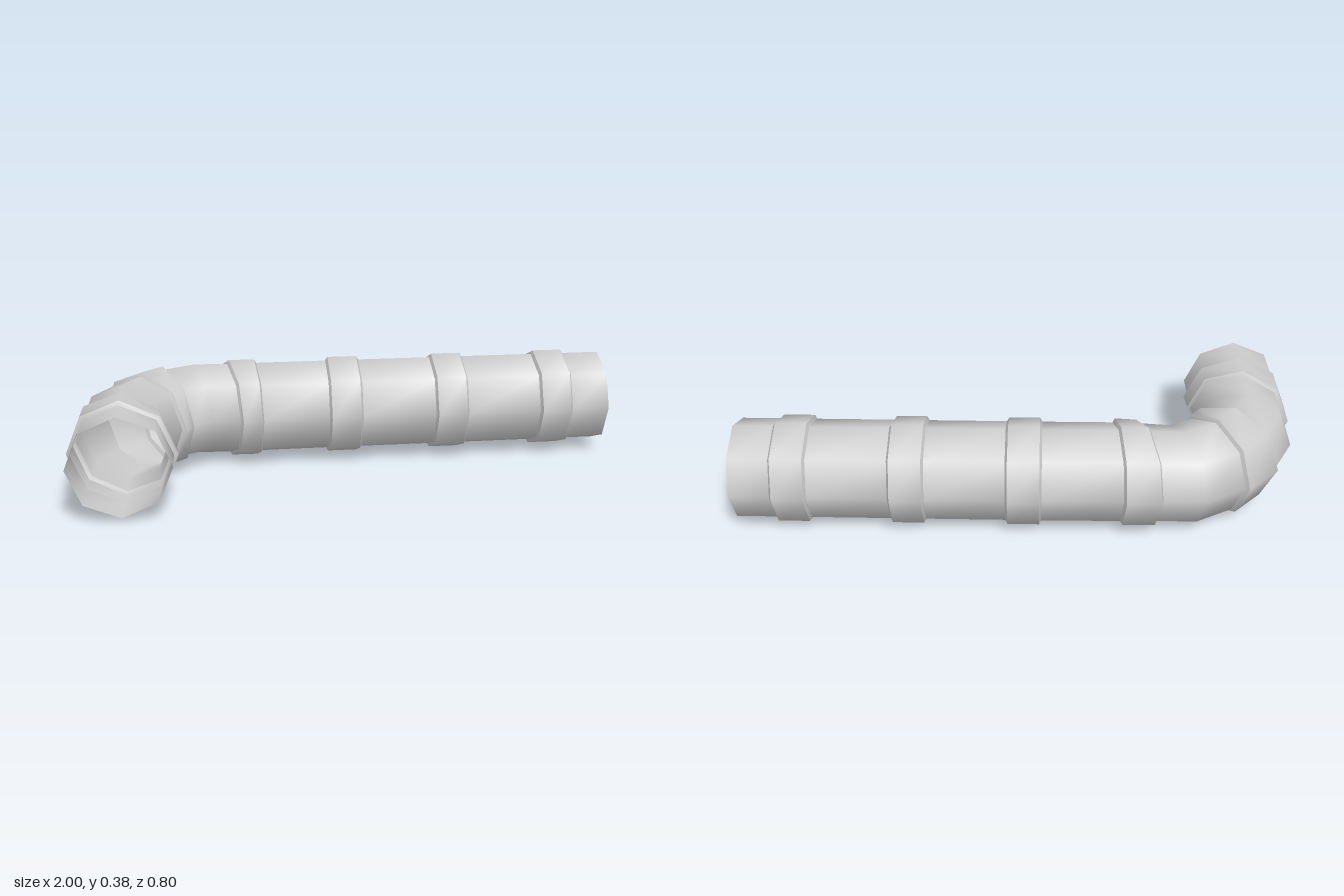
import * as THREE from 'three';
import { mergeGeometries } from 'three/addons/utils/BufferGeometryUtils.js';

const SIDES = 8, AXIS_Y = 0.19, PIPE_R = 0.176, COLLAR_R = 0.19, LIP = 0.008;
const material = new THREE.MeshStandardMaterial({ color: 0xcccccc, side: THREE.DoubleSide });

// A cross-section of the pipe: centre in plan, turn angle in degrees
const section = (x, z, turn) => ({ x, z, turn });

// Skin through octagonal cross-sections, smooth within one skin
function loft(sections, radii) {
  const pos = [], index = [];
  sections.forEach((s, k) => {
    const a = THREE.MathUtils.degToRad(s.turn);
    for (let j = 0; j < SIDES; j++) {
      const phi = (j / SIDES) * Math.PI * 2;
      const u = radii[k] * Math.sin(phi);
      pos.push(s.x + u * Math.cos(a), AXIS_Y + radii[k] * Math.cos(phi), s.z + u * Math.sin(a));
      if (k === 0) continue;
      const n = (j + 1) % SIDES, p = (k - 1) * SIDES, q = k * SIDES;
      index.push(p + j, p + n, q + j, p + n, q + n, q + j);
    }
  });
  const g = new THREE.BufferGeometry();
  g.setAttribute('position', new THREE.Float32BufferAttribute(pos, 3));
  g.setIndex(index);
  g.computeVertexNormals();
  return g;
}

// Move a section along the direction of the pipe
function slide(s, d) {
  const a = THREE.MathUtils.degToRad(s.turn);
  return section(s.x + d * Math.sin(a), s.z - d * Math.cos(a), s.turn);
}

function makePipe(name, sections) {
  const mesh = new THREE.Mesh(loft(sections, sections.map(() => PIPE_R)), material);
  mesh.name = name;
  return mesh;
}

// Raised band with a sloped step at each end
function makeCollar(name, start, end) {
  const a = slide(start, LIP), b = slide(end, -LIP);
  const mesh = new THREE.Mesh(mergeGeometries([
    loft([start, a], [PIPE_R, COLLAR_R]),
    loft([a, b], [COLLAR_R, COLLAR_R]),
    loft([b, end], [COLLAR_R, PIPE_R]),
  ]), material);
  mesh.name = name;
  return mesh;
}

export function createModel() {
  const group = new THREE.Group();
  group.name = 'pipe';

  // First half of the bend, mirrored across the diagonal for the second half
  const mirror = (s) => section(s.z - 0.605, s.x + 0.605, 90 - s.turn);
  const c1a = section(-0.81, 0.27, 6), c1b = section(-0.81, 0.16, 14);
  const mid = section(-0.815, 0.035, 22), c2a = section(-0.757, -0.07, 35.5);
  const c2b = mirror(c2a), c3a = mirror(c1b), c3b = mirror(c1a);

  // Bend
  group.add(
    makePipe('frontPipe', [section(-0.81, 0.4, 0), c1a]),
    makeCollar('frontCollar', c1a, c1b),
    makePipe('frontElbow', [c1b, mid, c2a]),
    makeCollar('cornerCollar', c2a, c2b),
    makePipe('rearElbow', [c2b, mirror(mid), c3a]),
    makeCollar('rearCollar', c3a, c3b),
  );

  // Straight run with evenly spaced collars
  let last = c3b;
  [-0.072, 0.33, 0.733].forEach((x, i) => {
    const start = section(x, -0.207, 90), end = section(x + 0.126, -0.207, 90);
    group.add(makePipe('straightPipe' + (i + 1), [last, start]));
    group.add(makeCollar('straightCollar' + (i + 1), start, end));
    last = end;
  });
  group.add(makePipe('endPipe', [last, section(1, -0.207, 90)]));
  return group;
}
